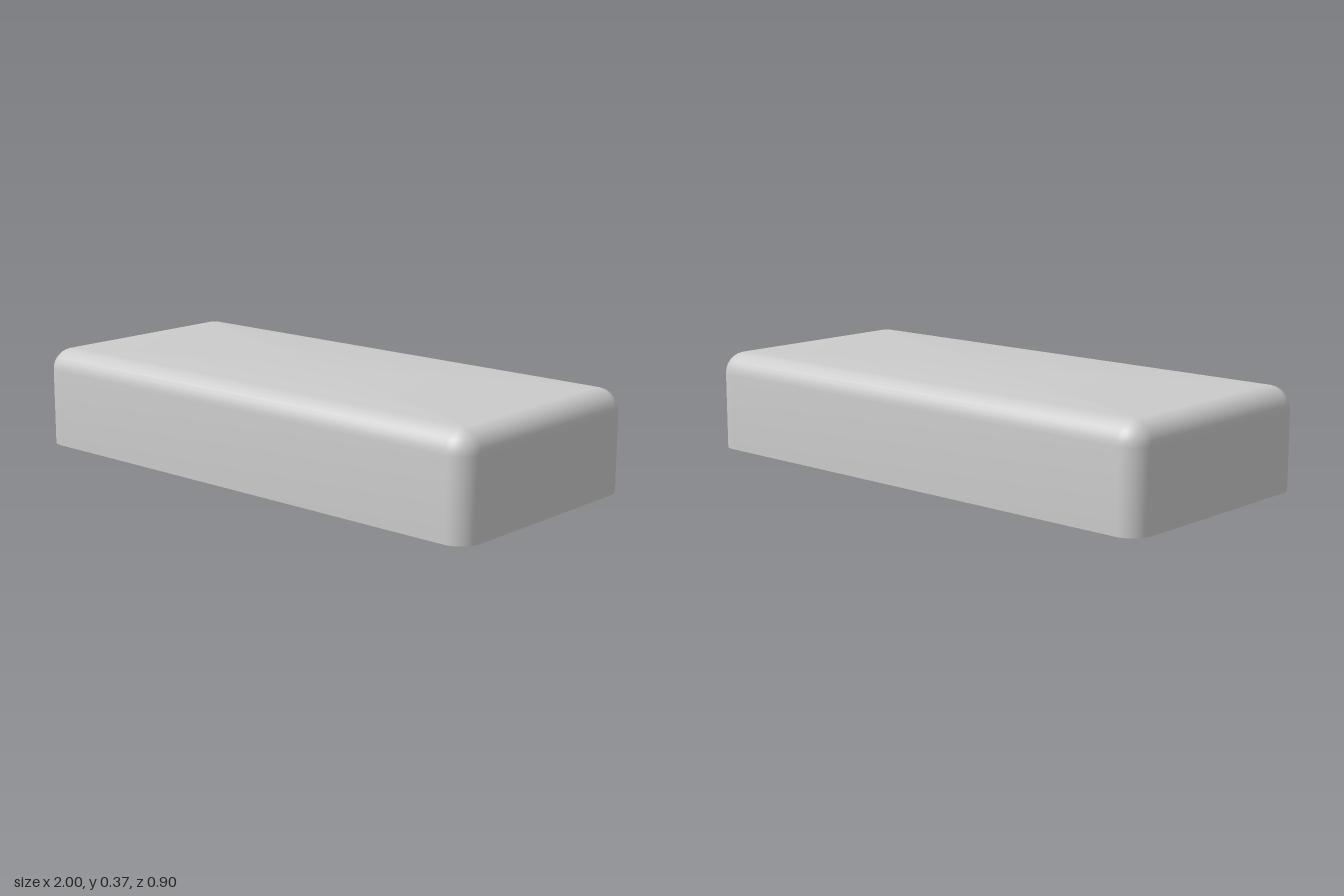
import * as THREE from 'three';
import { toCreasedNormals } from 'three/addons/utils/BufferGeometryUtils.js';
import { RoundedBoxGeometry } from 'three/addons/geometries/RoundedBoxGeometry.js';

const HALF_X = 1, HALF_Z = 0.45, HEIGHT = 0.365;
const CORNER = 0.08, FILLET = 0.08, WALL = 0.025, ROOF = 0.03;
const CORNER_STEPS = 8, FILLET_STEPS = 7;

// Rounded rectangle at height y, pulled in from the footprint; counter-clockwise from above
function ring(inset, y) {
  const r = Math.max(CORNER - inset, 0.012);
  const cx = HALF_X - inset - r, cz = HALF_Z - inset - r;
  const points = [];
  [[1, 1], [-1, 1], [-1, -1], [1, -1]].forEach(([sx, sz], k) => {
    for (let i = 0; i <= CORNER_STEPS; i++) {
      const t = (k + i / CORNER_STEPS) * Math.PI / 2;
      points.push([sx * cx + r * Math.cos(t), y, -(sz * cz + r * Math.sin(t))]);
    }
  });
  return points;
}

// Quarter-round edge from the wall up to the flat, as [inset, y] pairs
function edge(inset, top, r) {
  return Array.from({ length: FILLET_STEPS + 1 }, (_, i) => {
    const t = (i / FILLET_STEPS) * Math.PI / 2;
    return [inset + r * (1 - Math.cos(t)), top - r * (1 - Math.sin(t))];
  });
}

// Hollow shell: ceiling, inner wall, rim, outer wall and top in one loft
function shellGeometry() {
  const ceiling = HEIGHT - ROOF;
  const profile = [
    ...edge(WALL, ceiling, 0.06).reverse(),
    [WALL, 0],
    [0, 0],
    ...edge(0, HEIGHT, FILLET),
  ];
  const rings = profile.map(([inset, y]) => ring(inset, y));
  const n = rings[0].length;
  const positions = [];
  const tri = (a, b, c) => positions.push(...a, ...b, ...c);
  for (let k = 0; k < rings.length - 1; k++) {
    const a = rings[k], b = rings[k + 1];
    for (let i = 0; i < n; i++) {
      const j = (i + 1) % n;
      tri(a[i], a[j], b[j]);
      tri(a[i], b[j], b[i]);
    }
  }
  const first = rings[0], last = rings[rings.length - 1];
  for (let i = 0; i < n; i++) {
    const j = (i + 1) % n;
    tri([0, ceiling, 0], first[j], first[i]);
    tri([0, HEIGHT, 0], last[i], last[j]);
  }
  const geometry = new THREE.BufferGeometry();
  geometry.setAttribute('position', new THREE.Float32BufferAttribute(positions, 3));
  return toCreasedNormals(geometry, 0.7);
}

export function createModel() {
  const model = new THREE.Group();
  model.name = 'keycap';
  const material = new THREE.MeshStandardMaterial({ color: 0xcccccc });

  const shell = new THREE.Mesh(shellGeometry(), material);
  shell.name = 'shell';
  model.add(shell);

  // Mounting stem: four soft-edged posts leaving a cross-shaped slot
  const stem = new THREE.Group();
  stem.name = 'stem';
  const inner = 0.03, outer = 0.155, bottom = 0.1, top = 0.35;
  const size = outer - inner;
  const postGeometry = new RoundedBoxGeometry(size, top - bottom, size, 3, 0.025);
  for (const sx of [-1, 1]) {
    for (const sz of [-1, 1]) {
      const post = new THREE.Mesh(postGeometry, material);
      post.name = 'stemPost';
      post.position.set(sx * (inner + outer) / 2, (bottom + top) / 2, sz * (inner + outer) / 2);
      stem.add(post);
    }
  }
  model.add(stem);
  return model;
}
